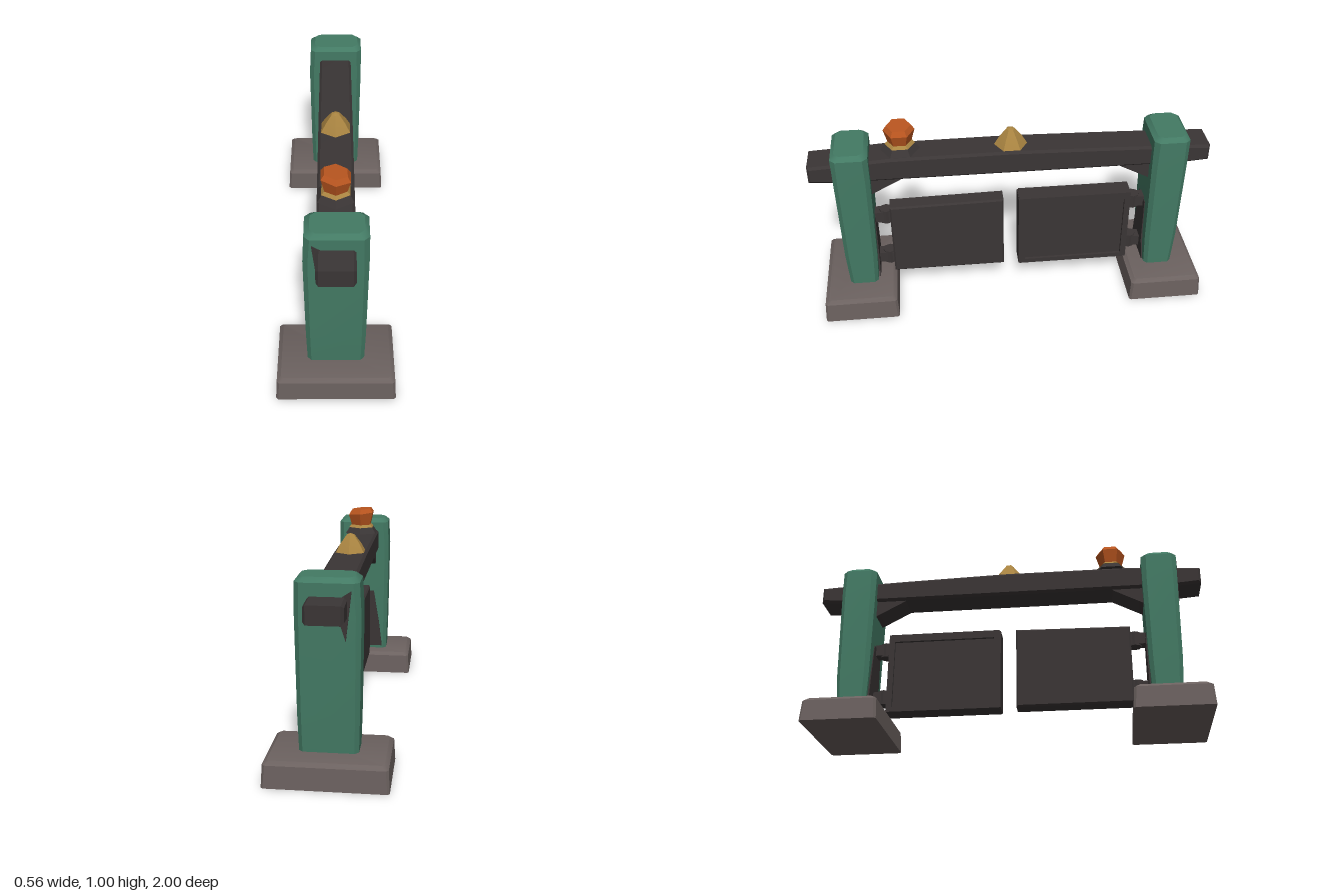
import * as THREE from 'three';
import { toCreasedNormals } from 'three/addons/utils/BufferGeometryUtils.js';

const material = (name, color) => {
  const m = new THREE.MeshStandardMaterial({ color });
  m.name = name;
  return m;
};

export function createModel() {
  const model = new THREE.Group();
  model.name = 'barrierGate';
  const green = material('green paint', 0x437a64);
  const iron = material('dark iron', 0x3a3535);
  const stone = material('stone', 0x6b615f);
  const orange = material('orange glass', 0xb8551f);
  const gold = material('brass', 0xa98441);

  function add(name, geometry, mat, parent = model, crease = 0.6) {
    const mesh = new THREE.Mesh(toCreasedNormals(geometry, crease), mat);
    mesh.name = name;
    parent.add(mesh);
    return mesh;
  }

  // Chamfered rectangular rings stacked along y: [y, halfX, halfZ, chamfer, centreX, centreZ]
  function loft(sections) {
    const pos = [], index = [];
    for (const [y, a, b, c, cx = 0, cz = 0] of sections) {
      const ring = [[a, b - c], [a - c, b], [c - a, b], [-a, b - c], [-a, c - b], [c - a, -b], [a - c, -b], [a, c - b]];
      for (const [x, z] of ring) pos.push(x + cx, y, z + cz);
    }
    for (let s = 0; s < sections.length - 1; s++) {
      for (let i = 0; i < 8; i++) {
        const p = s * 8 + i, q = s * 8 + (i + 1) % 8;
        index.push(p, p + 8, q, q, p + 8, q + 8);
      }
    }
    const top = (sections.length - 1) * 8;
    for (let i = 1; i < 7; i++) {
      index.push(0, i, i + 1, top, top + i + 1, top + i);
    }
    // ring runs from +x through +z to -x, so flip everything to face outward
    const geometry = new THREE.BufferGeometry();
    geometry.setAttribute('position', new THREE.Float32BufferAttribute(pos, 3));
    geometry.setIndex(index);
    return geometry;
  }

  // Outline in (z, y), extruded across x and centred
  function sideProfile(points, width, bevel = 0) {
    const shape = new THREE.Shape(points.map(([z, y]) => new THREE.Vector2(z, y)));
    const depth = width - 2 * bevel;
    const geometry = new THREE.ExtrudeGeometry(shape, {
      depth, bevelEnabled: bevel > 0, bevelSize: bevel, bevelThickness: bevel, bevelOffset: -bevel, bevelSegments: 1
    });
    return geometry.translate(0, 0, -depth / 2).rotateY(-Math.PI / 2);
  }

  // Thin plate in (x, y), centred on the given z
  function plate(points, z, t = 0.008) {
    const shape = new THREE.Shape(points.map(([x, y]) => new THREE.Vector2(x, y)));
    return new THREE.ExtrudeGeometry(shape, { depth: t, bevelEnabled: false }).translate(0, 0, z - t / 2);
  }

  const box = (w, h, d, x, y, z) => new THREE.BoxGeometry(w, h, d).translate(x, y, z);

  // Two matching ends: foot, post, braces, hinges and gate panel
  for (const s of [1, -1]) {
    const end = new THREE.Group();
    end.name = s > 0 ? 'frontEnd' : 'backEnd';
    model.add(end);

    add('foot', loft([
      [0, 0.28, 0.19, 0.01, 0, s * 0.80],
      [0.105, 0.274, 0.184, 0.012, 0, s * 0.80],
      [0.122, 0.255, 0.165, 0.012, 0, s * 0.80]
    ]), stone, end);

    add('post', loft([
      [0.11, 0.133, 0.072, 0.018, 0, s * 0.785],
      [0.30, 0.138, 0.082, 0.02, 0, s * 0.787],
      [0.75, 0.144, 0.089, 0.022, 0, s * 0.788],
      [0.89, 0.14, 0.09, 0.025, 0.003, s * 0.79],
      [0.912, 0.118, 0.07, 0.025, 0.005, s * 0.79]
    ]), green, end);

    // Diagonal brace between beam and post
    const brace = [[s * 0.71, 0.64], [s * 0.71, 0.75], [s * 0.53, 0.75], [s * 0.55, 0.725]];
    add('brace', sideProfile(brace, 0.14), iron, end);

    // Bearing plate spreading down the inner side of the post
    add('bearingPlate', plate([
      [-0.11, 0.14], [0.11, 0.14], [0.07, 0.24], [0.06, 0.48], [-0.06, 0.48], [-0.09, 0.3]
    ], s * 0.703), iron, end);

    // Iron wedge beside the beam on the outer side of the post
    add('beamWedge', plate([[-0.105, 0.86], [-0.08, 0.64], [-0.05, 0.73], [-0.06, 0.83]], s * 0.878), iron, end);

    for (const y of [0.2, 0.465]) {
      add('hingeArm', box(0.06, 0.06, 0.11, 0, y, s * 0.665), iron, end);
      add('hingeKnuckle', new THREE.CylinderGeometry(0.035, 0.035, 0.075, 8).translate(0, y, s * 0.645), iron, end);
    }

    // Gate panel: the back one has a raised frame
    const framed = s < 0;
    const half = framed ? 0.036 : 0.045;
    add('gatePanel', sideProfile([
      [s * 0.04, 0.115], [s * 0.625, 0.115], [s * 0.625, 0.53], [s * 0.04, 0.54]
    ], half * 2, 0.008), iron, end);
    if (framed) {
      add('panelTopRail', box(0.1, 0.04, 0.58, 0, 0.52, s * 0.335), iron, end);
      add('panelBottomRail', box(0.1, 0.025, 0.58, 0, 0.125, s * 0.335), iron, end);
      add('panelInnerStile', box(0.1, 0.42, 0.035, 0, 0.325, s * 0.056), iron, end);
      add('panelOuterStile', box(0.1, 0.42, 0.03, 0, 0.325, s * 0.61), iron, end);
    }
  }

  // Long crossbeam, slightly humped and thinner at its ends
  add('crossbeam', sideProfile([
    [-1, 0.74], [-0.87, 0.73], [0.87, 0.73], [1, 0.74], [1, 0.828], [0.87, 0.835],
    [0.6, 0.852], [0, 0.855], [-0.5, 0.843], [-0.87, 0.832], [-1, 0.825]
  ], 0.172, 0.012), iron);

  // Brass cap at mid span
  add('brassCap', new THREE.LatheGeometry([
    [0.088, 0.845], [0.058, 0.895], [0.022, 0.94], [0, 0.948]
  ].map(([r, y]) => new THREE.Vector2(r, y)), 6), gold, model, 0.4);

  // Warning lamp near the front post
  const lamp = new THREE.Group();
  lamp.name = 'warningLamp';
  lamp.position.set(0, 0, 0.545);
  model.add(lamp);
  add('lampBase', new THREE.CylinderGeometry(0.07, 0.097, 0.035, 6).translate(0, 0.878, 0), iron, lamp);
  add('lampCollar', new THREE.CylinderGeometry(0.06, 0.075, 0.014, 6).translate(0, 0.9, 0), gold, lamp);
  const glass = new THREE.LatheGeometry([
    [0, 0.9], [0.057, 0.9], [0.077, 0.97], [0.06, 0.994], [0, 0.994]
  ].map(([r, y]) => new THREE.Vector2(r, y)), 6);
  // Tilt the crown a little
  const p = glass.attributes.position;
  for (let i = 0; i < p.count; i++) {
    if (p.getY(i) > 0.95) p.setY(i, p.getY(i) - 0.1 * p.getX(i));
  }
  add('lampGlass', glass, orange, lamp, 0.4);

  return model;
}
